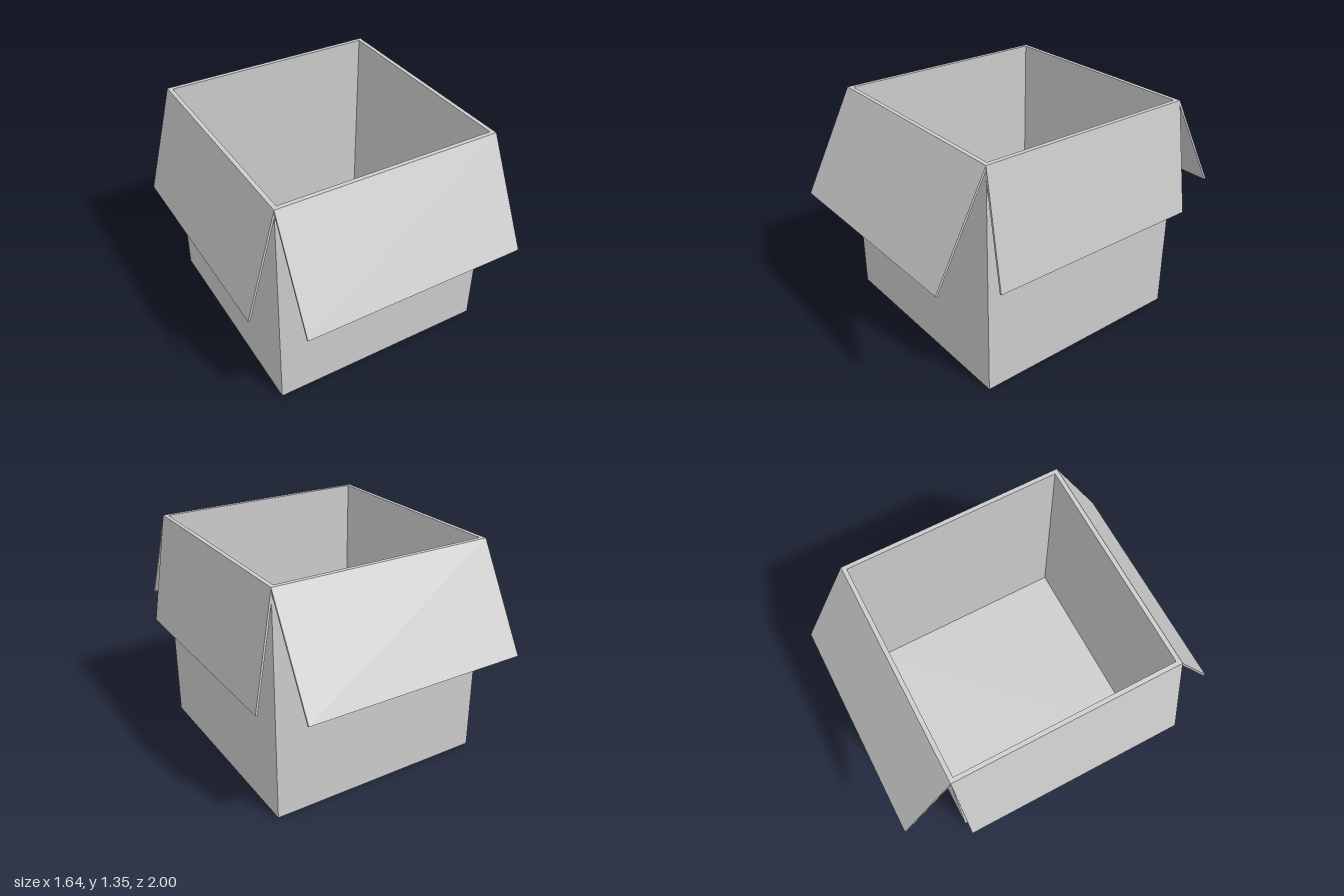
import * as THREE from 'three';

export function createModel() {
  const model = new THREE.Group();
  model.name = 'openCardboardBox';
  const material = new THREE.MeshStandardMaterial({ color: 0xcccccc });

  // Body footprint and board thicknesses
  const x0 = -0.645, x1 = 0.705, z0 = -0.667, z1 = 0.687;
  const height = 1.353, wall = 0.025;
  const flapLength = 0.676, flapThickness = 0.0125;
  const width = x1 - x0, depth = z1 - z0;
  const cx = (x0 + x1) / 2, cz = (z0 + z1) / 2;

  const rectangle = (PathClass, w, d) => new PathClass([
    new THREE.Vector2(-w / 2, -d / 2), new THREE.Vector2(w / 2, -d / 2),
    new THREE.Vector2(w / 2, d / 2), new THREE.Vector2(-w / 2, d / 2),
  ]);

  // Four walls as one square tube
  const outline = rectangle(THREE.Shape, width, depth);
  outline.holes.push(rectangle(THREE.Path, width - 2 * wall, depth - 2 * wall));
  const wallGeometry = new THREE.ExtrudeGeometry(outline, { depth: height, bevelEnabled: false });
  wallGeometry.rotateX(-Math.PI / 2);
  const walls = new THREE.Mesh(wallGeometry, material);
  walls.name = 'walls';
  walls.position.set(cx, 0, cz);
  model.add(walls);

  // Floor set between the walls
  const floor = new THREE.Mesh(
    new THREE.BoxGeometry(width - 2 * wall, wall, depth - 2 * wall), material);
  floor.name = 'floor';
  floor.position.set(cx, wall / 2, cz);
  model.add(floor);

  // Flaps hinged on the top outer edges, each folded out by its own angle
  const flaps = [
    { name: 'frontFlap', x: cx, z: z1, span: width, turn: 0, open: 27.5 },
    { name: 'backFlap', x: cx, z: z0, span: width, turn: 180, open: 29.5 },
    { name: 'leftFlap', x: x1, z: cz, span: depth, turn: 90, open: 9.5 },
    { name: 'rightFlap', x: x0, z: cz, span: depth, turn: -90, open: 15 },
  ];
  for (const { name, x, z, span, turn, open } of flaps) {
    const geometry = new THREE.BoxGeometry(span, flapLength, flapThickness);
    geometry.translate(0, -flapLength / 2, -flapThickness / 2);
    const flap = new THREE.Mesh(geometry, material);
    flap.name = name;
    flap.position.set(x, height, z);
    flap.rotation.set(
      -THREE.MathUtils.degToRad(open), THREE.MathUtils.degToRad(turn), 0, 'YXZ');
    model.add(flap);
  }

  return model;
}
